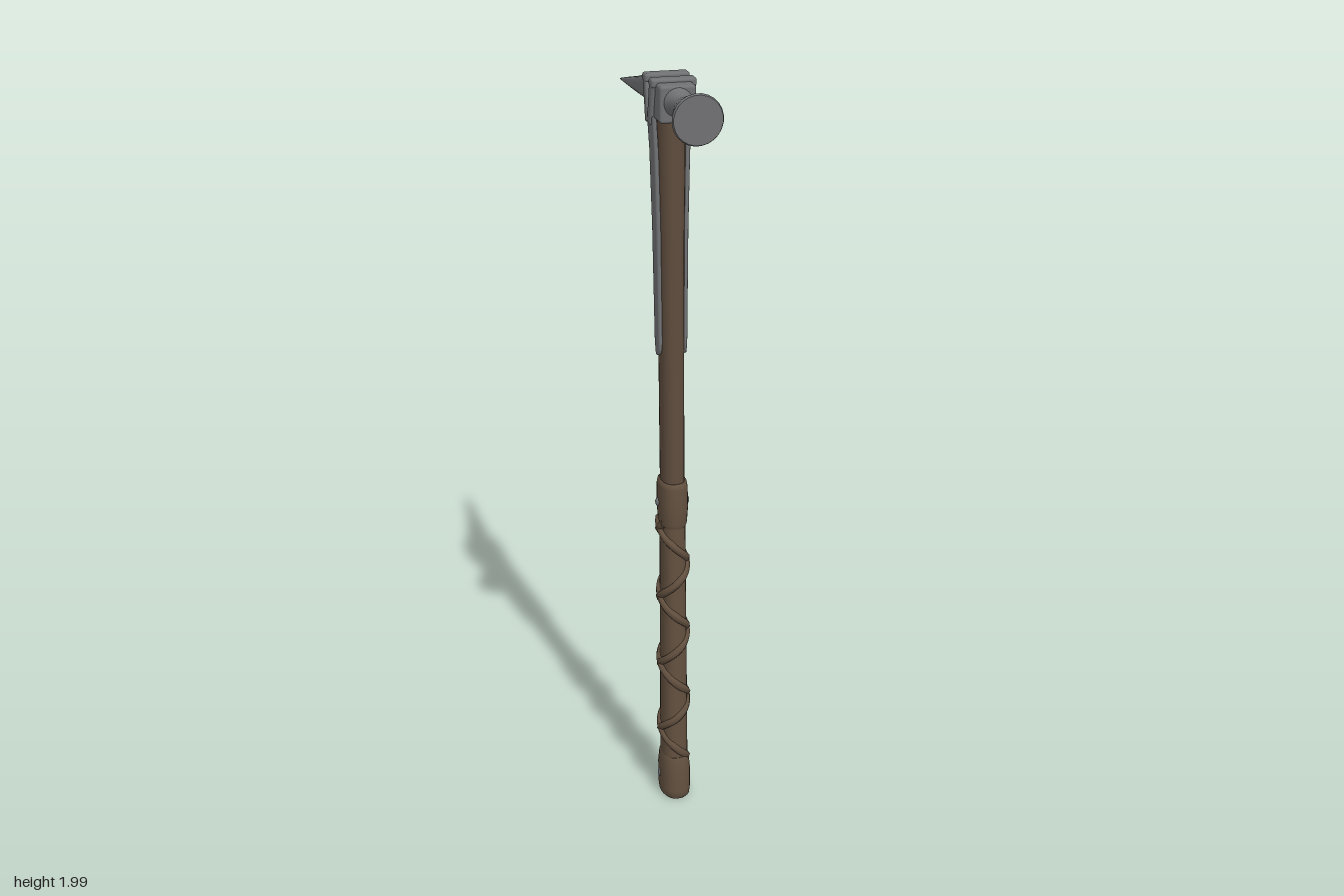
import * as THREE from 'three';
import { RoundedBoxGeometry } from 'three/addons/geometries/RoundedBoxGeometry.js';

const material = (name, color) => {
  const m = new THREE.MeshStandardMaterial({ color });
  m.name = name;
  return m;
};

// Skin over oval sections [position, centre x, centre on other axis, half width x, half width other].
// power < 1 squares the oval off; sections ascend along the axis.
function loft(axis, sections, power = 1, n = 20) {
  const pos = [], idx = [];
  const soft = v => Math.sign(v) * Math.abs(v) ** power;
  const put = (s, dx, dv) => axis === 'y'
    ? pos.push(s[1] + dx, s[0], s[2] - dv)
    : pos.push(s[1] + dx, s[2] + dv, s[0]);
  const ring = s => {
    const start = pos.length / 3;
    for (let j = 0; j < n; j++) {
      const t = (j + 0.5) / n * Math.PI * 2;
      put(s, s[3] * soft(Math.cos(t)), s[4] * soft(Math.sin(t)));
    }
    return start;
  };
  const starts = sections.map(ring);
  for (let i = 0; i < starts.length - 1; i++) {
    for (let j = 0; j < n; j++) {
      const k = (j + 1) % n, a = starts[i], b = starts[i + 1];
      idx.push(a + j, a + k, b + k, a + j, b + k, b + j);
    }
  }
  // separate end caps keep the rims sharp
  [sections[0], sections.at(-1)].forEach((s, end) => {
    const a = ring(s), c = pos.length / 3;
    put(s, 0, 0);
    for (let j = 0; j < n; j++) {
      const k = (j + 1) % n;
      idx.push(c, a + (end ? j : k), a + (end ? k : j));
    }
  });
  const g = new THREE.BufferGeometry();
  g.setAttribute('position', new THREE.Float32BufferAttribute(pos, 3));
  g.setIndex(idx);
  g.computeVertexNormals();
  return g;
}

export function createModel() {
  const steel = material('steel', 0x707173);
  const wood = material('wood', 0x5e4c3d);
  const leather = material('leather', 0x62503f);

  const model = new THREE.Group();
  model.name = 'warHammer';
  const body = new THREE.Group();
  body.name = 'hammerBody';
  body.position.set(-0.018, 0, 0.0086);
  body.rotation.y = 0.442;
  model.add(body);

  const add = (name, geometry, mat) => {
    const m = new THREE.Mesh(geometry, mat);
    m.name = name;
    body.add(m);
    return m;
  };
  // the shaft leans slightly forward towards its foot
  const lean = y => 0.164 - 0.03 * y;
  const shaftPart = rows => loft('y', rows.map(([y, a, b]) => [y, 0, lean(y), a, b]), 0.85, 24);

  // shaft
  add('shaft', shaftPart([[0.9, 0.03, 0.044], [1.3, 0.031, 0.045], [1.6, 0.033, 0.048],
    [1.8, 0.036, 0.052], [1.9, 0.037, 0.053]]), wood);
  add('gripCore', shaftPart([[0.1, 0.035, 0.049], [0.45, 0.034, 0.047], [0.84, 0.032, 0.045]]), leather);

  // collars at both ends of the grip
  add('pommel', shaftPart([[0.005, 0.033, 0.05], [0.012, 0.039, 0.057], [0.03, 0.041, 0.06],
    [0.09, 0.041, 0.058], [0.122, 0.038, 0.054], [0.13, 0.034, 0.05]]), leather);
  add('gripCollar', shaftPart([[0.805, 0.033, 0.048], [0.815, 0.036, 0.052], [0.86, 0.039, 0.057],
    [0.915, 0.038, 0.055], [0.926, 0.036, 0.052], [0.93, 0.031, 0.046]]), leather);

  // crossed thongs wound round the grip
  for (const dir of [1, -1]) {
    const points = [];
    for (let i = 0; i <= 64; i++) {
      const f = i / 64, y = 0.125 + 0.69 * f, t = dir * (f * Math.PI * 7 + 0.6);
      points.push(new THREE.Vector3(Math.cos(t) * 0.034, y, lean(y) + Math.sin(t) * 0.047));
    }
    add('gripThong', new THREE.TubeGeometry(new THREE.CatmullRomCurve3(points), 160, 0.011, 6), leather);
  }

  // rivets through the collars
  for (const side of [1, -1]) {
    for (const y of [0.065, 0.867]) {
      const rivet = add('rivet', new THREE.SphereGeometry(0.011, 12, 8), steel);
      rivet.position.set(side * 0.039, y, lean(y));
      rivet.scale.x = 0.6;
    }
  }

  // head block
  const block = add('headBlock', new RoundedBoxGeometry(0.092, 0.092, 0.145, 2, 0.008), steel);
  block.position.set(0, 1.93, 0.122);

  // pick
  add('pick', loft('z', [[-0.436, 0, 1.862, 0.002, 0.002], [-0.33, 0, 1.878, 0.011, 0.011],
    [-0.2, 0, 1.897, 0.02, 0.022], [-0.03, 0, 1.927, 0.033, 0.039],
    [0.02, 0, 1.929, 0.042, 0.042], [0.06, 0, 1.93, 0.05, 0.045]], 0.75), steel);

  // hammer poll
  const poll = [[0.185, 0.04], [0.2, 0.034], [0.215, 0.027], [0.24, 0.025], [0.265, 0.03],
    [0.315, 0.044], [0.368, 0.06], [0.378, 0.063], [0.385, 0.06]];
  add('hammerPoll', loft('z', poll.map(([z, r]) => [z, 0, 1.935, r, r]), 1, 24), steel);

  // straps over the head, converging into a long langet on each side
  for (const z of [0.069, 0.137]) {
    const top = add('topStrap', new RoundedBoxGeometry(0.114, 0.022, 0.036, 2, 0.007), steel);
    top.position.set(0, 1.974, z);
    for (const side of [1, -1]) {
      const zLow = z < 0.1 ? 0.092 : 0.114;
      const strap = add('sideStrap', new RoundedBoxGeometry(0.015, 0.118, 0.028, 2, 0.006), steel);
      strap.position.set(side * 0.049, 1.926, (z + zLow) / 2);
      strap.rotation.x = Math.atan2(z - zLow, 0.1);
    }
  }
  for (const side of [1, -1]) {
    const rows = [[1.272, 0.031, 0.006], [1.277, 0.031, 0.015], [1.29, 0.031, 0.021], [1.31, 0.0315, 0.024],
      [1.6, 0.035, 0.026], [1.8, 0.04, 0.028], [1.89, 0.045, 0.03]];
    add('langet', loft('y', rows.map(([y, x, w]) => [y, side * x, lean(y) - 0.002, 0.0075, w]), 0.55), steel);
  }
  return model;
}
